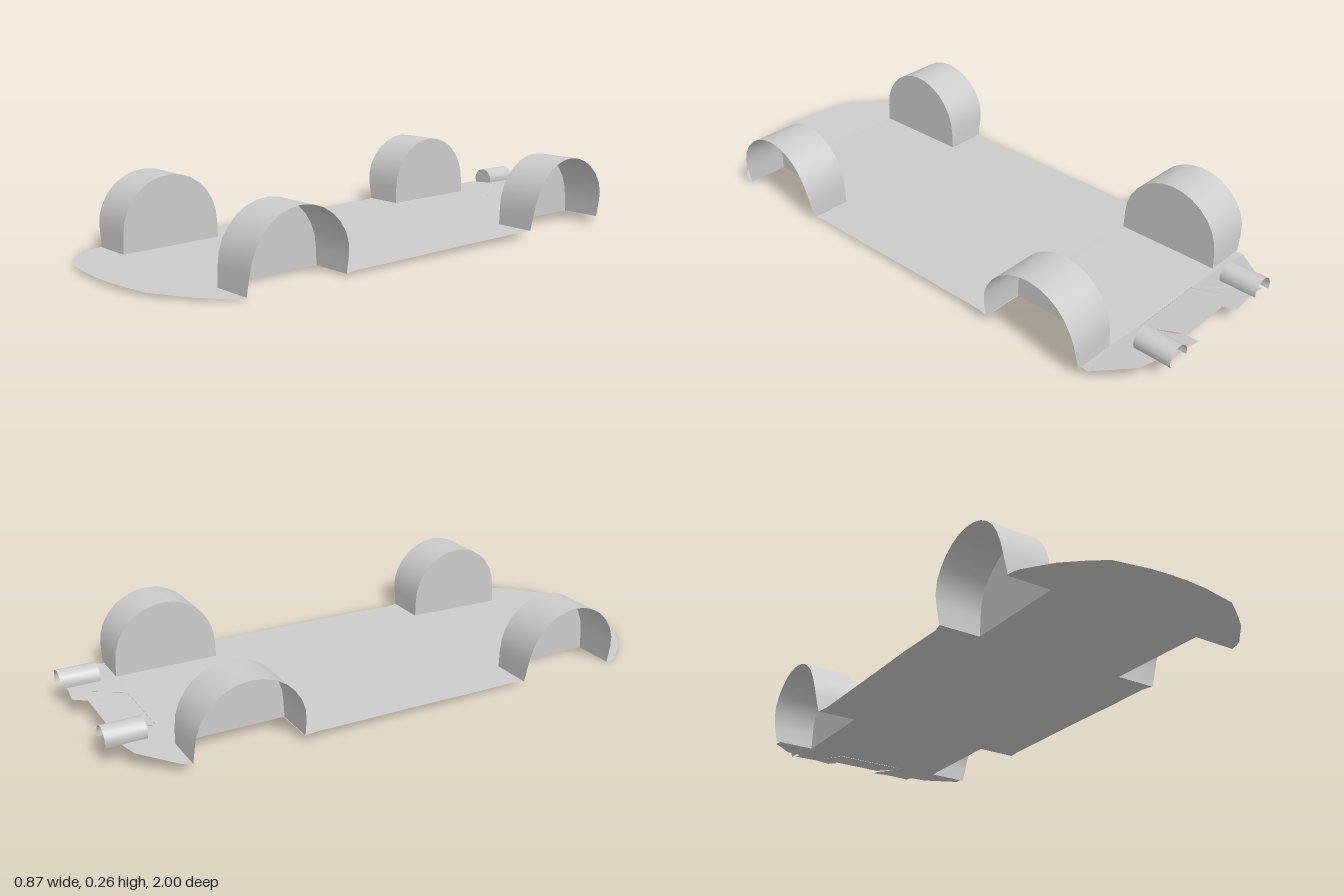
import * as THREE from 'three';

const material = new THREE.MeshStandardMaterial({ color: 0xcccccc, side: THREE.DoubleSide });

// Surface through rows of equally many points
function loft(name, rows) {
  const n = rows[0].length, index = [];
  for (let i = 0; i < rows.length - 1; i++) {
    for (let j = 0; j < n - 1; j++) {
      const a = i * n + j, b = a + 1, c = a + n, d = c + 1;
      index.push(a, b, c, b, d, c);
    }
  }
  const g = new THREE.BufferGeometry();
  g.setAttribute('position', new THREE.Float32BufferAttribute(rows.flat(2), 3));
  g.setIndex(index);
  g.computeVertexNormals();
  const mesh = new THREE.Mesh(g, material);
  mesh.name = name;
  return mesh;
}

// Flat-faced fan around the first point
function fan(name, points) {
  const pos = [];
  for (let i = 1; i < points.length - 1; i++) pos.push(points[0], points[i], points[i + 1]);
  const g = new THREE.BufferGeometry();
  g.setAttribute('position', new THREE.Float32BufferAttribute(pos.flat(), 3));
  g.computeVertexNormals();
  const mesh = new THREE.Mesh(g, material);
  mesh.name = name;
  return mesh;
}

// Mirror a row of points to side s, reversing it to keep the winding
function mirror(points, s) {
  const out = points.map(([x, y, z]) => [s * x, y, z]);
  return s < 0 ? out.reverse() : out;
}

// Open wheel housing with a closed inner wall
function wheelArch(name, s, zc, yFront, yBack, r, rise) {
  const group = new THREE.Group();
  group.name = name;
  const base = (z) => yBack + (yFront - yBack) * (z - zc + r) / (2 * r);
  const profile = [[yFront, zc + r + 0.002]];
  const N = 14;
  for (let i = 0; i <= N; i++) {
    const a = Math.PI * i / N;
    profile.push([yFront + rise + r * Math.sin(a), zc + r * Math.cos(a)]);
  }
  profile.push([yBack, zc - r - 0.002]);
  const inner = profile.map(([y, z]) => [0.27, y, z]);
  const outer = profile.map(([y, z]) => {
    const h = Math.min(1, (y - base(z)) / 0.15);
    return [0.414 + 0.022 * Math.sin(h * Math.PI / 2), y, z];
  });
  const foot = profile.map(([, z]) => [0.27, base(z), z]);
  group.add(loft('archShell', [mirror(outer, s), mirror(inner, s)]));
  group.add(loft('archInnerWall', [mirror(inner, s), mirror(foot, s)]));
  return group;
}

export function createModel() {
  const model = new THREE.Group();
  model.name = 'carUnderbody';

  // Floor pan: [z, y, half width], narrowed between the wheels
  const stations = [
    [0.995, 0.012, 0.03], [0.99, 0.012, 0.1], [0.97, 0.011, 0.22], [0.93, 0.009, 0.28],
    [0.885, 0.006, 0.34], [0.81, 0.002, 0.405], [0.79, 0.001, 0.415], [0.765, 0, 0.42],
    [0.765, 0, 0.27], [0.4, 0.008, 0.27], [0.4, 0.008, 0.412], [0.36, 0.009, 0.403],
    [0.18, 0.013, 0.407], [0, 0.016, 0.405], [-0.38, 0.021, 0.405], [-0.43, 0.023, 0.412],
    [-0.43, 0.023, 0.27], [-0.79, 0.027, 0.27],
  ];
  model.add(loft('floorPan', stations.map(([z, y, w]) =>
    [-1, -0.6, -0.2, 0.2, 0.6, 1].map((t) => [t * w, y, z]))));

  // Rising centre panel at the back
  model.add(loft('rearCentrePanel', [
    [[-0.27, 0.027, -0.79], [-0.135, 0.027, -0.79], [0.135, 0.027, -0.79], [0.27, 0.027, -0.79]],
    [[-0.27, 0.027, -0.8], [-0.135, 0.027, -0.8], [0.135, 0.027, -0.8], [0.27, 0.027, -0.8]],
  ]));
  model.add(loft('rearCentreRamp', [
    [[-0.135, 0.026, -0.8], [0.135, 0.026, -0.8]],
    [[-0.095, 0.055, -0.945], [0.095, 0.055, -0.945]],
  ]));

  for (const s of [1, -1]) {
    const side = s > 0 ? 'left' : 'right';
    model.add(wheelArch(side + 'FrontArch', s, 0.583, 0, 0.008, 0.18, 0.064));
    model.add(wheelArch(side + 'RearArch', s, -0.61, 0.023, 0.027, 0.18, 0.057));

    // Outer rear panel that carries the exhaust
    const panel = [
      [0.27, 0.027, -0.79], [0.4, 0.027, -0.79], [0.403, 0.029, -0.82], [0.31, 0.05, -0.93],
      [0.25, 0.056, -0.95], [0.25, 0.06, -0.985], [0.17, 0.06, -0.98], [0.135, 0.027, -0.8],
    ];
    model.add(fan(side + 'RearPanel', mirror(panel, s)));

    // Folded fin beside the centre ramp
    const fin = [[0.17, 0.06, -0.98], [0.105, 0.06, -0.99], [0.135, 0.026, -0.8]];
    model.add(fan(side + 'RearFin', mirror(fin, s)));
    const finWall = [[0.135, 0.026, -0.8], [0.105, 0.06, -0.99], [0.095, 0.05, -0.945]];
    model.add(fan(side + 'FinWall', mirror(finWall, s)));

    // Half-pipe exhaust cover, closed at its front end
    const ring = [];
    for (let i = 0; i <= 12; i++) {
      const a = -0.45 + (Math.PI + 0.75) * i / 12;
      ring.push([0.222 + 0.041 * Math.cos(a), 0.077 + 0.039 * Math.sin(a)]);
    }
    const at = (z) => mirror(ring.map(([x, y]) => [x, y, z]), s);
    const exhaust = new THREE.Group();
    exhaust.name = side + 'ExhaustCover';
    exhaust.add(loft('coverShell', [at(-0.87), at(-0.985), at(-1)]));
    exhaust.add(fan('coverEnd', at(-0.87)));
    model.add(exhaust);
  }
  return model;
}
